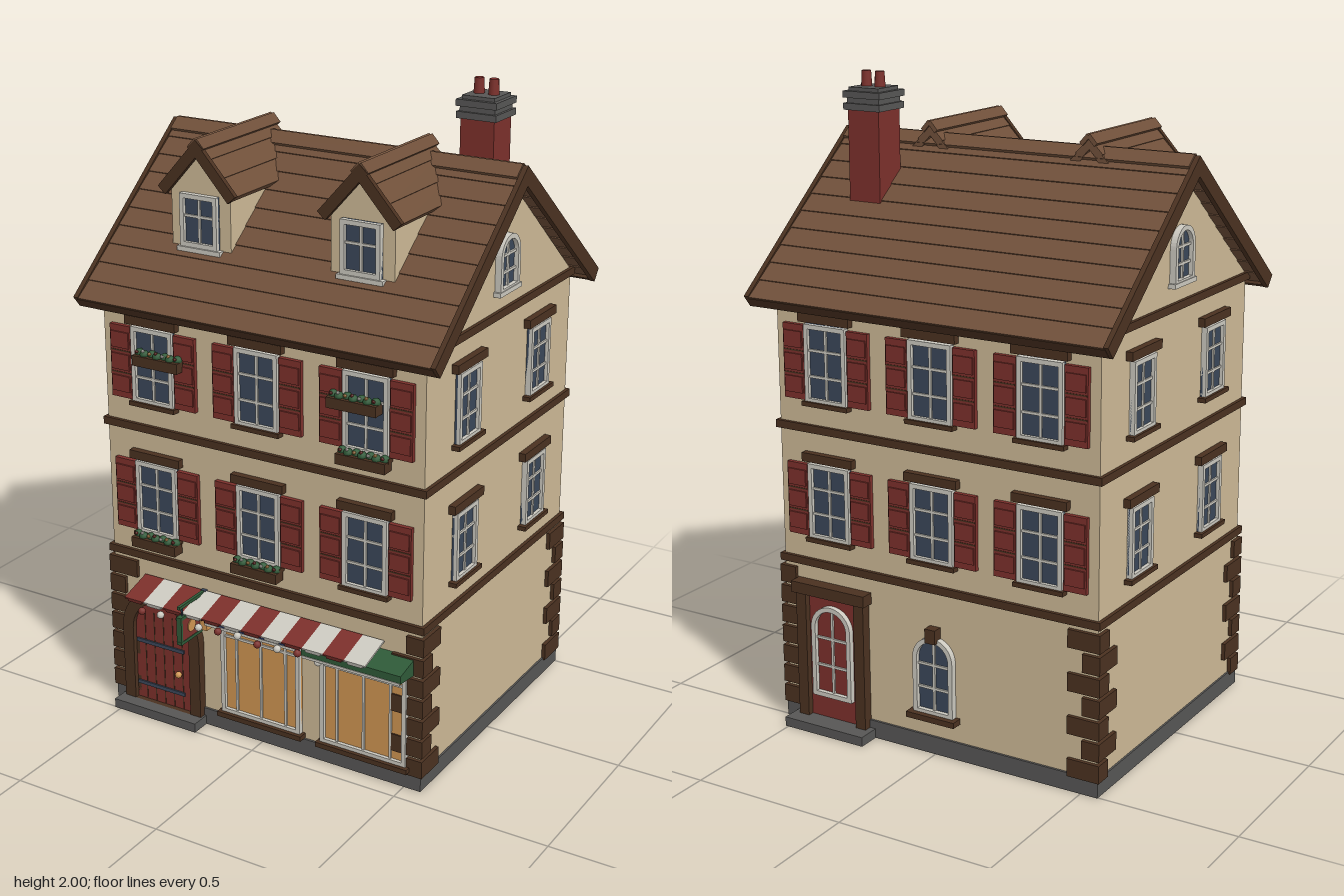
import * as THREE from 'three';

const flat = (name, color) => new THREE.MeshStandardMaterial({ name, color });
const M = {
  wall: flat('plaster', 0xcdb996), timber: flat('darkTimber', 0x4a3120), roof: flat('roofBrown', 0x70503a),
  red: flat('brickRed', 0x7c302b), glass: flat('windowGlass', 0x3a4759), white: flat('paleTrim', 0xccc9c0),
  stone: flat('stone', 0x575655), glow: flat('shopGlow', 0xcf9552), green: flat('leafGreen', 0x2f5a38),
  blue: flat('awningBlue', 0x24345e),
};

function add(parent, name, geo, mat, x = 0, y = 0, z = 0) {
  const m = new THREE.Mesh(geo, mat);
  m.name = name;
  m.position.set(x, y, z);
  parent.add(m);
  return m;
}
const box = (p, name, mat, w, h, d, x, y, z) => add(p, name, new THREE.BoxGeometry(w, h, d), mat, x, y, z);
function group(parent, name, x = 0, y = 0, z = 0, ry = 0) {
  const g = new THREE.Group();
  g.name = name;
  g.position.set(x, y, z);
  g.rotation.y = ry;
  parent.add(g);
  return g;
}
const extrude = (shape, depth) => new THREE.ExtrudeGeometry(shape, { depth, bevelEnabled: false, curveSegments: 10 });
const polygon = pts => new THREE.Shape(pts.map(p => new THREE.Vector2(...p)));

// Round-headed outline standing on y = y0
function arch(w, h, y0 = 0, C = THREE.Shape) {
  const r = w / 2, s = new C();
  s.moveTo(-r, y0);
  s.lineTo(r, y0);
  s.lineTo(r, y0 + h - r);
  s.absarc(0, y0 + h - r, r, 0, Math.PI, false);
  s.lineTo(-r, y0);
  return s;
}

// Glazed window; local origin at its centre on the wall, facing +z
function glazing(p, w, h, x, y, pane = M.glass, cols = [0], rows = [-1 / 6, 1 / 6]) {
  const g = group(p, 'window', x, y);
  const t = 0.014;
  box(g, 'pane', pane, w, h, 0.008, 0, 0, 0.003);
  for (const s of [-1, 1]) {
    box(g, 'frameUpright', M.white, t, h, 0.03, s * (w - t) / 2, 0, 0.003);
    box(g, 'frameRail', M.white, w, t, 0.03, 0, s * (h - t) / 2, 0.003);
  }
  for (const c of cols) box(g, 'mullion', M.white, 0.008, h, 0.016, c * w, 0, 0.004);
  for (const r of rows) box(g, 'glazingBar', M.white, w, 0.008, 0.016, 0, r * h, 0.004);
  return g;
}

function houseWindow(p, x, sillY, h, shutters) {
  const w = shutters ? 0.148 : 0.132;
  const g = glazing(p, w, h, x, sillY + h / 2);
  box(g, 'lintel', M.timber, 0.182, 0.027, 0.04, 0, h / 2 + 0.02, 0.002);
  box(g, 'sill', M.timber, 0.165, 0.014, 0.044, 0, -h / 2 - 0.003, 0.004);
  if (!shutters) return;
  for (const s of [-1, 1]) {
    const sh = group(g, 'shutter', s * 0.115, 0, 0.006);
    box(sh, 'shutterPanel', M.red, 0.074, h - 0.01, 0.016, 0, 0, 0);
    for (const k of [-1, 0, 1]) box(sh, 'shutterSlat', M.red, 0.064, 0.05, 0.006, 0, k * h * 0.29, 0.01);
    for (const k of [-0.5, 0.5]) box(sh, 'shutterGroove', M.timber, 0.07, 0.004, 0.002, 0, k * h * 0.29, 0.0085);
  }
}

function archWindow(p, w, h, x, y, pane) {
  const g = group(p, 'archedWindow', x, y);
  const frame = arch(w, h);
  frame.holes.push(arch(w - 0.03, h - 0.03, 0.015, THREE.Path));
  add(g, 'archFrame', extrude(frame, 0.02), M.white);
  add(g, 'archPane', extrude(arch(w - 0.02, h - 0.02, 0.01), 0.006), pane);
  box(g, 'mullion', M.white, 0.008, h - 0.02, 0.008, 0, h / 2, 0.008);
  for (const k of [0.34, 0.64]) box(g, 'glazingBar', M.white, w - 0.02, 0.008, 0.008, 0, h * k, 0.008);
  return g;
}

function flowerBox(p, x, y) {
  const g = group(p, 'flowerBox', x, y, 0.026);
  box(g, 'planter', M.timber, 0.162, 0.032, 0.04, 0, 0, 0);
  for (let i = 0; i < 7; i++) {
    const px = -0.069 + i * 0.023;
    add(g, 'leaves', new THREE.IcosahedronGeometry(0.014, 1), M.green, px, 0.02, i % 2 * 0.008 - 0.004);
    add(g, 'blossom', new THREE.IcosahedronGeometry(0.006, 0), [M.red, M.white, M.glow][i % 3], px, 0.027 + i % 2 * 0.005, 0.011);
  }
}

// Half of a pitched roof: overlapping courses falling from the ridge toward s * z
function roofSlope(p, s, angle, len, span, courses, thick) {
  const g = group(p, 'roofSlope');
  g.rotation.x = s * angle;
  const step = len / courses;
  for (let i = 0; i < courses; i++) {
    const c = box(g, 'roofCourse', M.roof, span, thick, step + 0.004, 0, -thick / 2 - 0.003, s * (i + 0.5) * step);
    c.rotation.x = -s * 0.05;
  }
  return g;
}

function dormer(p, x) {
  const g = group(p, 'dormer', x);
  const face = polygon([[-0.104, 1.42], [0.104, 1.42], [0.104, 1.7], [0, 1.815], [-0.104, 1.7]]);
  add(g, 'dormerWall', extrude(face, 0.3), M.wall, 0, 0, 0.005);
  const front = group(g, 'dormerFront', 0, 0, 0.305);
  glazing(front, 0.13, 0.16, 0, 1.597, M.glass, [0], [0.08]);
  box(front, 'dormerSill', M.white, 0.152, 0.014, 0.03, 0, 1.509, 0.006);
  // Roof turned so its ridge runs front to back
  const roof = group(g, 'dormerRoof', 0, 1.84, 0.121, Math.PI / 2);
  for (const s of [-1, 1]) {
    const slope = roofSlope(roof, s, 0.84, 0.2, 0.4, 3, 0.024);
    box(slope, 'verge', M.timber, 0.016, 0.034, 0.204, -0.2, -0.016, s * 0.1);
    box(slope, 'ridgeCap', M.roof, 0.412, 0.014, 0.036, 0, 0.001, s * 0.017);
  }
}

export function createModel() {
  const house = new THREE.Group();
  house.name = 'townHouse';
  const zc = -0.032;

  // Walls, plinth and timber string courses
  const gable = polygon([[-0.465, 0.04], [0.465, 0.04], [0.465, 1.37], [0, 1.765], [-0.465, 1.37]]);
  add(house, 'walls', extrude(gable, 1.1), M.wall, -0.55, 0, zc).rotation.y = Math.PI / 2;
  box(house, 'plinth', M.stone, 1.112, 0.056, 0.944, 0, 0.028, zc);
  box(house, 'frontStep', M.stone, 0.31, 0.03, 0.1, -0.365, 0.015, 0.453);
  box(house, 'backStep', M.stone, 0.29, 0.03, 0.1, 0.365, 0.015, -0.527);
  for (const y of [0.532, 0.96, 1.365]) box(house, 'stringCourse', M.timber, 1.122, 0.024, 0.952, 0, y, zc);

  // Corner blocks, long and short in turn
  for (const sx of [-1, 1]) for (const sz of [-1, 1]) for (let i = 0; i < 7; i++) {
    const alongX = (i % 2 === 0) === (sx < 0);
    const w = alongX ? 0.106 : 0.058, d = alongX ? 0.058 : 0.106;
    box(house, 'cornerBlock', M.timber, w, 0.056, d, sx * (0.562 - w / 2), 0.478 - i * 0.067, zc + sz * (0.477 - d / 2));
  }

  const front = group(house, 'frontFace', 0, 0, 0.433);
  const back = group(house, 'backFace', 0, 0, -0.497, Math.PI);
  for (const face of [front, back]) for (const x of [-0.368, 0, 0.365]) {
    houseWindow(face, x, 1.045, 0.24, true);
    houseWindow(face, x, 0.615, 0.238, true);
  }
  for (const s of [-1, 1]) {
    const side = group(house, 'sideFace', s * 0.55, 0, 0, s * Math.PI / 2);
    for (const z of [0.195, -0.265]) {
      houseWindow(side, -s * z, 1.045, 0.218, false);
      houseWindow(side, -s * z, 0.615, 0.218, false);
    }
    archWindow(side, 0.124, 0.17, -s * zc, 1.43, M.glass);
    box(side, 'gableSill', M.white, 0.14, 0.014, 0.03, -s * zc, 1.432, 0.008);
  }
  for (const [x, y] of [[-0.337, 1.19], [0.335, 1.19], [0.365, 1.025], [-0.365, 0.592], [0, 0.592]]) flowerBox(front, x, y);

  // Arched front door
  const door = group(front, 'frontDoor', -0.362, 0.03);
  const surround = arch(0.29, 0.395);
  surround.holes.push(arch(0.212, 0.356, 0, THREE.Path));
  add(door, 'doorSurround', extrude(surround, 0.028), M.timber);
  add(door, 'doorLeaf', extrude(arch(0.22, 0.36), 0.012), M.red);
  for (const x of [-0.07, -0.035, 0, 0.035, 0.07]) box(door, 'plankJoint', M.timber, 0.003, 0.31, 0.003, x, 0.157, 0.012);
  for (const y of [0.055, 0.205]) box(door, 'ironStrap', M.glass, 0.18, 0.012, 0.006, -0.012, y, 0.014);
  add(door, 'doorKnob', new THREE.SphereGeometry(0.011, 10, 8), M.glow, 0.06, 0.125, 0.022);

  // Shop windows, canopies and striped awning
  for (const [x, w, mat, end] of [[0, 0.285, M.blue, 0.066], [0.362, 0.295, M.green, 0.088]]) {
    const shop = glazing(front, w, 0.3, x, 0.222, M.glow, [-0.31, 0, 0.31], [0.38]);
    shop.name = 'shopWindow';
    box(shop, 'shopSill', M.timber, w + 0.02, 0.016, 0.04, 0, -0.156, 0.01);
    const canopy = polygon([[0, 0.16], [end, 0.17], [end, 0.195], [0, 0.215]]);
    add(shop, 'canopy', extrude(canopy, 0.335), mat, 0.1675, 0, 0).rotation.y = -Math.PI / 2;
    box(shop, 'canopyTrim', M.white, 0.33, 0.008, 0.004, 0, 0.168, end);
  }
  const awning = group(front, 'stripedAwning', 0, 0.466, 0.005);
  awning.rotation.x = 0.29;
  for (let i = 0; i < 12; i++) {
    const x = -0.392 + i * 0.0713, mat = i % 2 ? M.white : M.red;
    box(awning, 'awningStripe', mat, 0.0713, 0.006, 0.116, x, 0, 0.058);
    box(awning, 'awningFringe', mat, 0.05, 0.008, 0.004, x, -0.006, 0.114);
  }
  for (let i = 0; i < 10; i++)
    add(front, 'garlandBall', new THREE.IcosahedronGeometry(0.012, 1), i % 2 ? M.white : M.red, -0.395 + i * 0.071, 0.378 + i % 3 * 0.005, 0.075);

  // Hanging sign and lantern beside the door
  const sign = group(front, 'hangingSign', -0.207);
  box(sign, 'bracketPlate', M.glass, 0.018, 0.13, 0.012, 0, 0.405, 0.006);
  box(sign, 'bracketArm', M.green, 0.01, 0.01, 0.142, 0, 0.464, 0.071);
  box(sign, 'signBoard', M.red, 0.014, 0.074, 0.1, 0, 0.387, 0.087);
  for (const y of [0.346, 0.428]) box(sign, 'signBorder', M.green, 0.018, 0.01, 0.112, 0, y, 0.087);
  for (const z of [0.036, 0.138]) box(sign, 'signBorder', M.green, 0.018, 0.09, 0.008, 0, 0.387, z);
  for (const z of [0.05, 0.124]) box(sign, 'signHanger', M.glass, 0.005, 0.036, 0.005, 0, 0.446, z);
  add(sign, 'signRosette', new THREE.CylinderGeometry(0.02, 0.02, 0.02, 12), M.glow, 0, 0.387, 0.087).rotation.z = Math.PI / 2;
  box(sign, 'lantern', M.glow, 0.024, 0.036, 0.024, 0.02, 0.37, 0.03);
  add(sign, 'lanternCap', new THREE.ConeGeometry(0.022, 0.02, 6), M.timber, 0.02, 0.398, 0.03);

  // Back door and arched window
  const rear = group(back, 'backDoor', -0.365, 0.03);
  box(rear, 'rearDoorLeaf', M.red, 0.19, 0.4, 0.012, 0, 0.2, 0.006);
  for (const s of [-1, 1]) box(rear, 'rearDoorPost', M.timber, 0.036, 0.41, 0.036, s * 0.107, 0.205, 0.014);
  box(rear, 'rearDoorLintel', M.timber, 0.27, 0.036, 0.05, 0, 0.425, 0.018);
  archWindow(rear, 0.145, 0.3, 0, 0.075, M.red).position.z = 0.01;
  archWindow(back, 0.14, 0.25, 0, 0.13, M.glass);
  box(back, 'keystone', M.timber, 0.036, 0.045, 0.036, 0, 0.39, 0.014);
  box(back, 'archSill', M.timber, 0.17, 0.018, 0.044, 0, 0.125, 0.016);

  // Main roof
  const roof = group(house, 'mainRoof', 0, 1.8, -0.038);
  const len = 0.692;
  for (const s of [-1, 1]) {
    const slope = roofSlope(roof, s, 0.688, len, 1.2, 10, 0.03);
    for (const e of [-1, 1]) box(slope, 'rakeBoard', M.timber, 0.016, 0.046, len + 0.004, e * 0.603, -0.021, s * len / 2);
    box(slope, 'eaveBoard', M.timber, 1.2, 0.036, 0.012, 0, -0.024, s * (len - 0.003));
    box(slope, 'ridgeCap', M.roof, 1.19, 0.016, 0.048, 0, 0, s * 0.023);
  }
  for (const x of [-0.276, 0.272]) dormer(house, x);

  // Chimney
  const chimney = group(house, 'chimney', 0.39, 0, -0.203);
  box(chimney, 'chimneyStack', M.red, 0.11, 0.34, 0.11, 0, 1.73, 0);
  for (const [w, y, h] of [[0.13, 1.897, 0.02], [0.114, 1.915, 0.016], [0.132, 1.933, 0.02], [0.106, 1.948, 0.012]])
    box(chimney, 'chimneyCap', M.stone, w, h, w, 0, y, 0);
  for (const s of [-1, 1])
    add(chimney, 'chimneyPot', new THREE.CylinderGeometry(0.014, 0.017, 0.052, 12), M.red, s * 0.024, 1.974, 0);
  return house;
}
